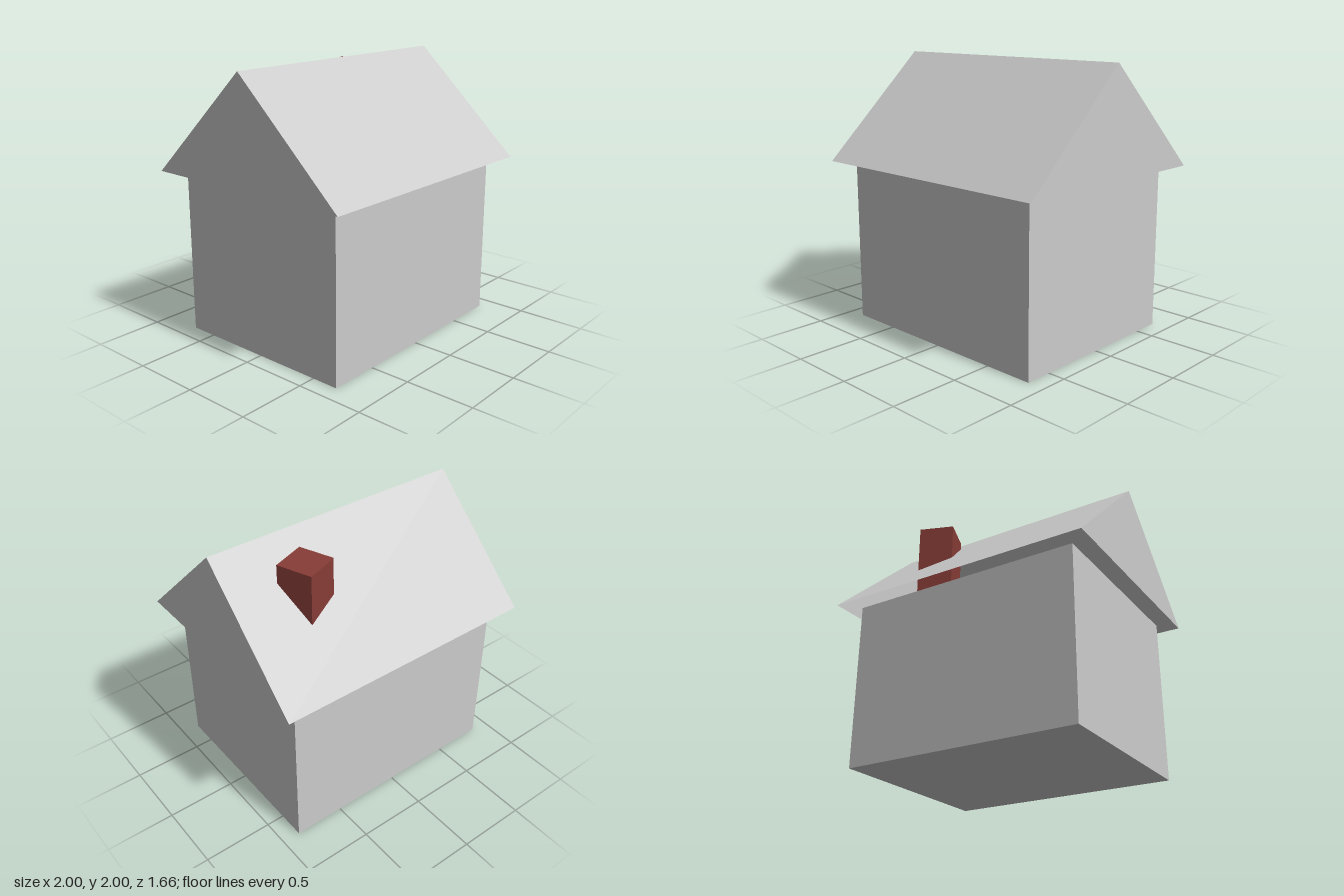
import * as THREE from 'three';

const plaster = new THREE.MeshStandardMaterial({ name: 'paleGrey', color: 0xcccccc, side: THREE.DoubleSide });
const brick = new THREE.MeshStandardMaterial({ name: 'brickRed', color: 0x883d37 });

const EAVE_Y = 1.22, RIDGE_Y = 2, ROOF_X = 1, ROOF_Z = 0.83;

function addBox(group, name, size, position, material) {
  const mesh = new THREE.Mesh(new THREE.BoxGeometry(...size), material);
  mesh.name = name;
  mesh.position.set(...position);
  group.add(mesh);
  return mesh;
}

// Gabled shell: two slopes and two gable ends, open underneath
function roofGeometry() {
  const corner = (x, side) => (side === 0 ? [x, RIDGE_Y, 0] : [x, EAVE_Y, side * ROOF_Z]);
  const L = ROOF_X, R = -ROOF_X;
  const triangles = [
    // front slope
    corner(R, 1), corner(L, 1), corner(L, 0),
    corner(R, 1), corner(L, 0), corner(R, 0),
    // back slope
    corner(L, -1), corner(R, -1), corner(R, 0),
    corner(L, -1), corner(R, 0), corner(L, 0),
    // gable ends
    corner(L, 1), corner(L, -1), corner(L, 0),
    corner(R, -1), corner(R, 1), corner(R, 0),
  ];
  const geometry = new THREE.BufferGeometry();
  geometry.setAttribute('position', new THREE.Float32BufferAttribute(triangles.flat(), 3));
  geometry.computeVertexNormals();
  return geometry;
}

export function createModel() {
  const house = new THREE.Group();
  house.name = 'house';

  addBox(house, 'walls', [1.74, EAVE_Y, 1.4], [0, EAVE_Y / 2, 0], plaster);

  const roof = new THREE.Mesh(roofGeometry(), plaster);
  roof.name = 'roof';
  house.add(roof);

  // Chimney, turned on its axis and rising through the back slope
  const top = 1.92, bottom = 1.23;
  const chimney = addBox(house, 'chimney', [0.26, top - bottom, 0.26], [0.475, (top + bottom) / 2, -0.305], brick);
  chimney.rotation.y = 0.36;

  return house;
}
